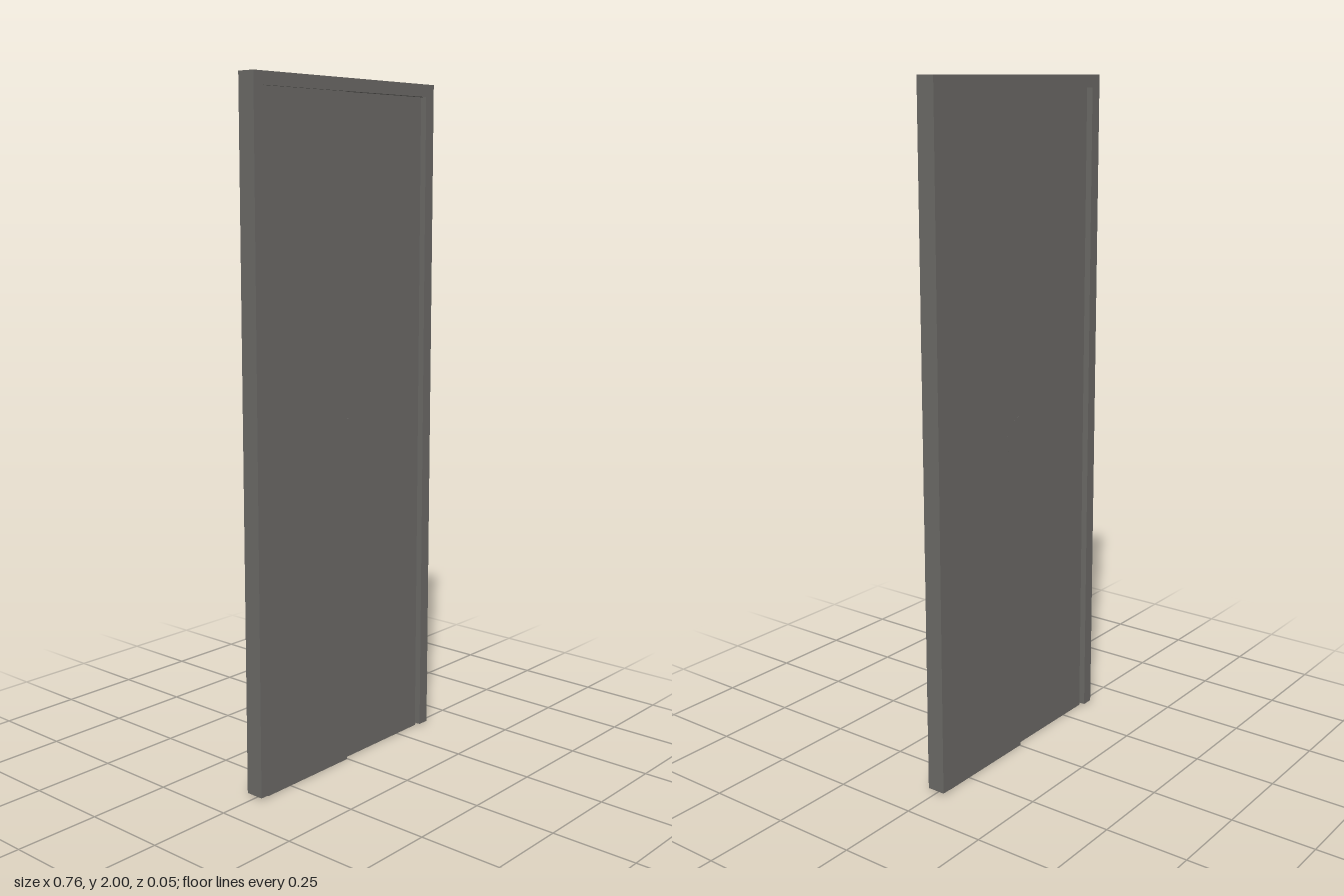
import * as THREE from 'three';

const W = 0.378, FRAME = 0.036, FLOOR = 0.008, HALF_DEPTH = 0.0275;
const PROUD = 0.0195, RECESSED = 0.0085; // leaf face distances from the centre plane

export function createModel() {
  const model = new THREE.Group();
  model.name = 'doubleDoor';
  const material = new THREE.MeshStandardMaterial({ color: 0x6b6966 });

  const add = (name, geometry, x = 0, y = 0, z = 0) => {
    const mesh = new THREE.Mesh(geometry, material);
    mesh.name = name;
    mesh.position.set(x, y, z);
    model.add(mesh);
    return mesh;
  };

  // Frame: two jambs and a head in one outline, open at the floor
  const inner = W - FRAME;
  const outline = new THREE.Shape([
    [-W, FLOOR], [-inner, FLOOR], [-inner, 2 - FRAME], [inner, 2 - FRAME],
    [inner, FLOOR], [W, FLOOR], [W, 2], [-W, 2],
  ].map(([x, y]) => new THREE.Vector2(x, y)));
  add('doorFrame', new THREE.ExtrudeGeometry(outline, { depth: 2 * HALF_DEPTH, bevelEnabled: false }), 0, 0, -HALF_DEPTH);

  // Leaves: offset in depth so that they meet in a step on both faces
  const leafHeight = 2 - FRAME;
  const seam = -0.003;
  for (const side of [-1, 1]) {
    const width = inner - side * seam;
    add(side > 0 ? 'leftLeaf' : 'rightLeaf',
      new THREE.BoxGeometry(width, leafHeight, PROUD + RECESSED),
      seam + side * width / 2, leafHeight / 2, -side * (PROUD - RECESSED) / 2);
  }

  // Lock disc: half round, level with the proud faces, bridging the step
  const lock = new THREE.Shape();
  lock.absarc(0, 0, 0.065, -Math.PI / 2, Math.PI / 2, false);
  lock.closePath();
  const depth = 2 * PROUD + 0.0002;
  add('lockDisc', new THREE.ExtrudeGeometry(lock, { depth, bevelEnabled: false, curveSegments: 24 }), seam, 0.98, -depth / 2);

  return model;
}
